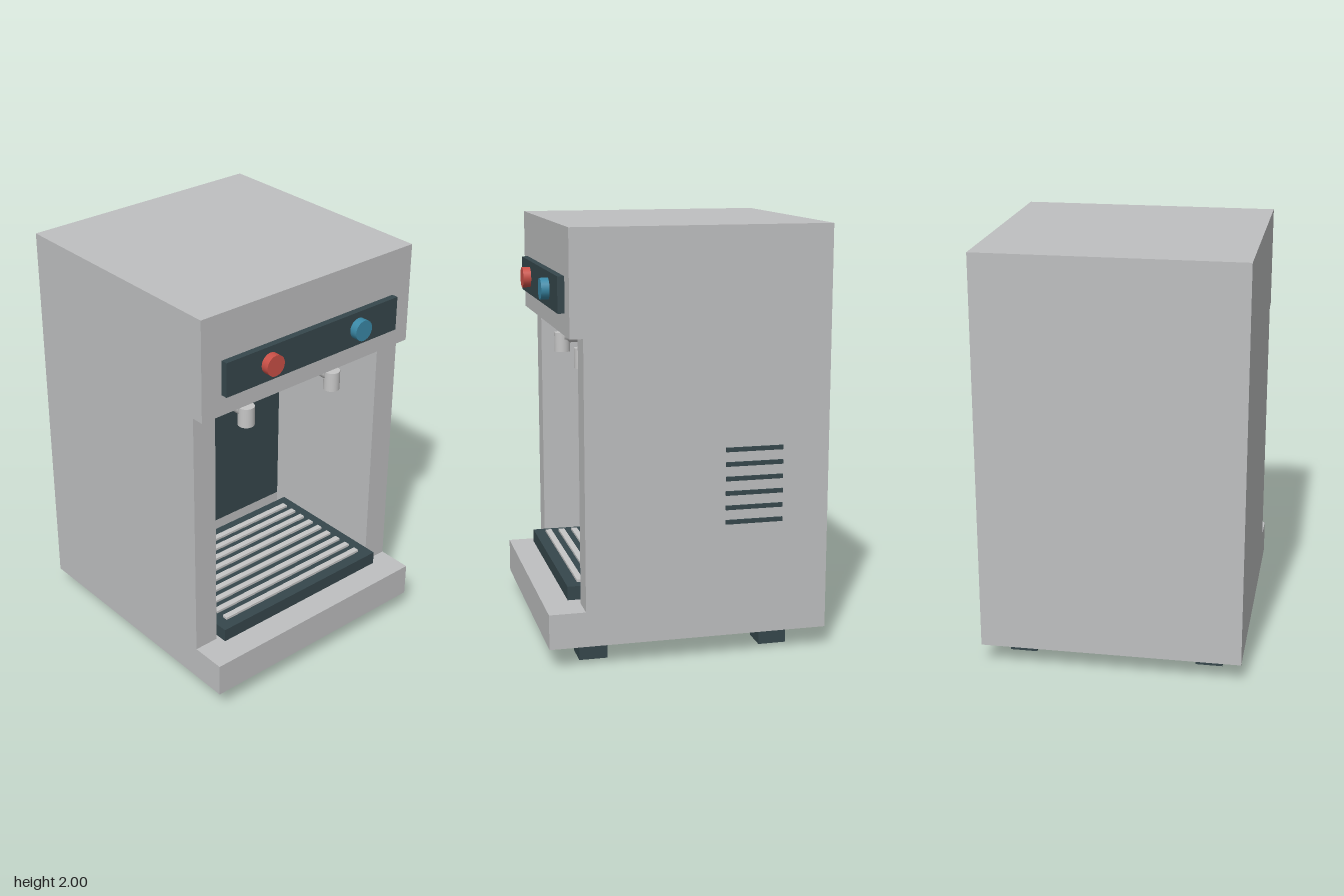
import * as THREE from 'three';

export function createModel() {
  const model = new THREE.Group();
  model.name = 'waterDispenser';

  const mat = (name, color) => {
    const m = new THREE.MeshStandardMaterial({ color });
    m.name = name;
    return m;
  };
  const casing = mat('casingGrey', 0xbebfc0);
  const dark = mat('darkSlate', 0x36474c);
  const metal = mat('metalGrey', 0xc6c6c6);
  const hot = mat('hotRed', 0xca5047);
  const cold = mat('coldBlue', 0x3a89a7);

  const add = (name, geometry, material) => {
    const mesh = new THREE.Mesh(geometry, material);
    mesh.name = name;
    model.add(mesh);
    return mesh;
  };
  // Box given by its limits on each axis
  const box = (name, material, x0, x1, y0, y1, z0, z1) =>
    add(name, new THREE.BoxGeometry(x1 - x0, y1 - y0, z1 - z0), material)
      .position.set((x0 + x1) / 2, (y0 + y1) / 2, (z0 + z1) / 2);

  const L = -0.625, R = 0.615, CX = -0.005;
  const back = -0.66, recess = -0.19;

  // Casing around the open dispensing bay
  box('base', casing, L, R, 0.1, 0.265, back, 0.66);
  box('head', casing, L, R, 1.515, 2, back, 0.55);
  box('rightWall', casing, L, -0.503, 0.265, 1.515, back, 0.49);
  box('leftWall', casing, 0.487, R, 0.265, 1.515, back, 0.49);
  box('rearHousing', casing, -0.503, 0.487, 0.265, 1.515, back, recess);
  box('backPanel', dark, -0.487, 0.474, 0.365, 1.42, recess, recess + 0.015);

  // Feet
  for (const x of [CX - 0.453, CX + 0.453])
    for (const z of [0.437, -0.433])
      box('foot', dark, x - 0.065, x + 0.065, 0, 0.1, z - 0.067, z + 0.067);

  // Drip tray with grille slats
  box('dripTray', dark, -0.5, 0.485, 0.285, 0.35, -0.13, 0.55);
  for (let i = 0; i < 9; i++) {
    const z = -0.06 + i * 0.0675;
    box('traySlat', metal, -0.443, 0.428, 0.35, 0.362, z - 0.015, z + 0.015);
  }

  // Control panel
  box('controlPanel', dark, -0.515, 0.505, 1.615, 1.78, 0.55, 0.582);

  // Buttons, colour markers and taps, one set for each temperature
  for (const [label, x, colour] of [['hot', CX - 0.264, hot], ['cold', CX + 0.264, cold]]) {
    const button = add(label + 'Button', new THREE.CylinderGeometry(0.05, 0.05, 0.038, 24), colour);
    button.rotation.x = Math.PI / 2;
    button.position.set(x, 1.7, 0.601);

    box(label + 'Marker', colour, x - 0.048, x + 0.048, 1.488, 1.515, 0.39, 0.46);

    const length = 0.42 - recess;
    const arm = add(label + 'TapArm', new THREE.CylinderGeometry(0.045, 0.045, length, 24), metal);
    arm.rotation.x = Math.PI / 2;
    arm.position.set(x, 1.415, recess + length / 2);

    const spout = add(label + 'Spout', new THREE.CylinderGeometry(0.039, 0.039, 0.095, 24), metal);
    spout.position.set(x, 1.375, 0.425);
  }

  // Vent slots on the left side
  for (let i = 0; i < 6; i++) {
    const y = 0.645 + i * 0.068;
    box('vent', dark, R - 0.004, 0.624, y - 0.01, y + 0.01, -0.437, -0.165);
  }

  return model;
}
